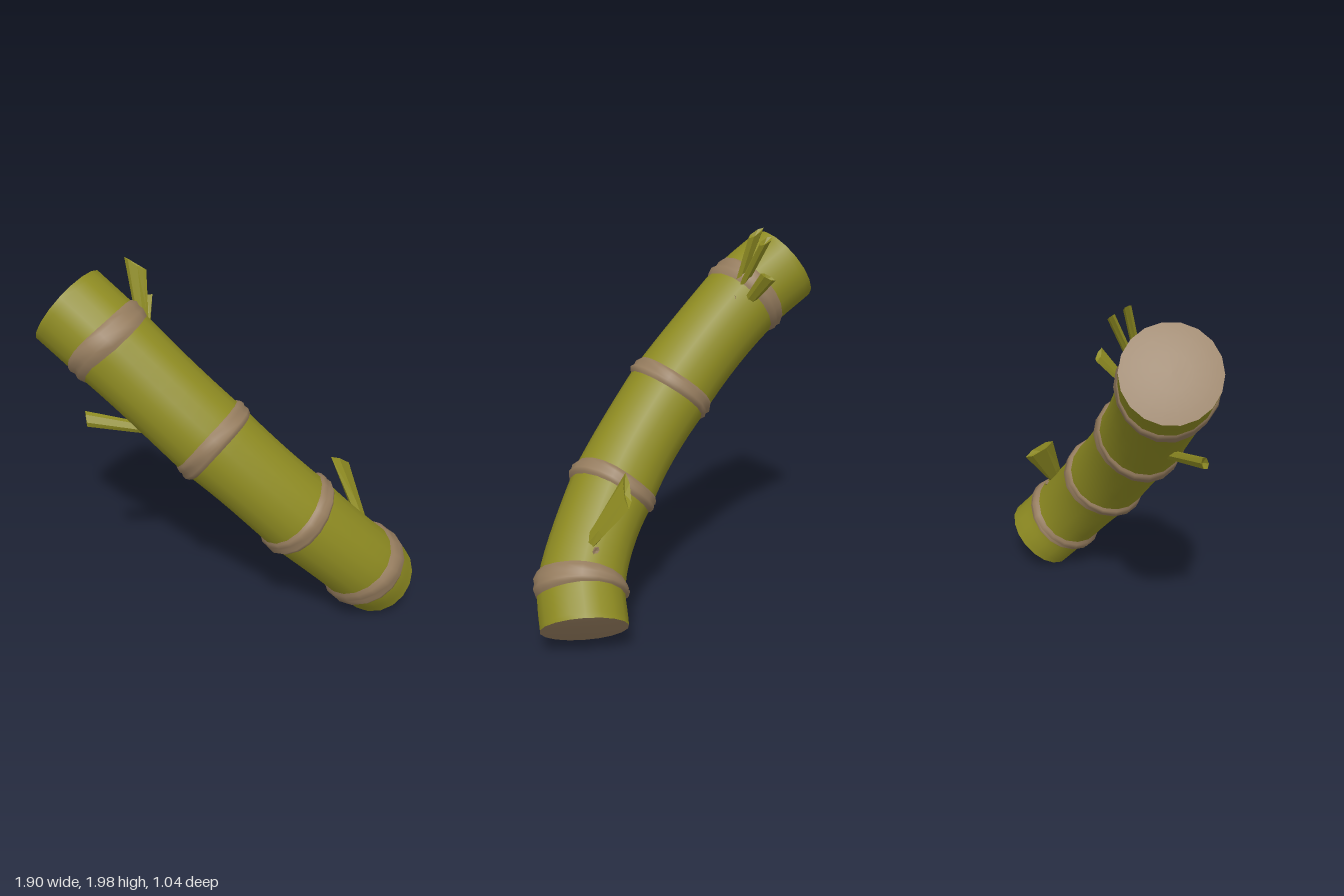
import * as THREE from 'three';

const V = (x, y, z) => new THREE.Vector3(x, y, z);
const SIDES = 18;

// Centre line of the stalk, one point per node, from upper to lower end
const spine = new THREE.CatmullRomCurve3([
  V(-0.75, 1.77, -0.33), V(-0.57, 1.6, -0.165), V(-0.14, 1.15, 0.115),
  V(0.28, 0.72, 0.27), V(0.65, 0.34, 0.285), V(0.79, 0.17, 0.21),
]);

// Skin a list of equal-length point loops
function loft(loops) {
  const n = loops[0].length, pos = [], idx = [];
  loops.forEach(l => l.forEach(p => pos.push(p.x, p.y, p.z)));
  for (let j = 0; j < loops.length - 1; j++) {
    for (let i = 0; i < n; i++) {
      const a = j * n + i, b = j * n + (i + 1) % n;
      idx.push(a, b, a + n, b, b + n, a + n);
    }
  }
  const g = new THREE.BufferGeometry();
  g.setAttribute('position', new THREE.Float32BufferAttribute(pos, 3));
  g.setIndex(idx);
  g.computeVertexNormals();
  return g;
}

// Loop of points around the spine; radius and shift along it depend on the angle
function section(t, radius, shift = () => 0) {
  const c = spine.getPoint(t), d = spine.getTangent(t);
  const u = V(1, 1, 0).addScaledVector(d, -d.dot(V(1, 1, 0))).normalize();
  const v = d.clone().cross(u);
  return Array.from({ length: SIDES }, (_, i) => {
    const a = i / SIDES * Math.PI * 2, r = radius(a);
    return c.clone().addScaledVector(u, Math.cos(a) * r)
      .addScaledVector(v, Math.sin(a) * r).addScaledVector(d, shift(a));
  });
}

// Flattened blade growing from a base point to the edge between two tip corners
function blade(base, a, b, w0, thick) {
  const mid = a.clone().add(b).multiplyScalar(0.5);
  const axis = mid.clone().sub(base);
  const half = a.clone().sub(b).multiplyScalar(0.5);
  const side = half.clone().addScaledVector(axis, -half.dot(axis) / axis.lengthSq()).normalize();
  const flat = axis.clone().normalize().cross(side);
  const loops = [0, 0.35, 1].map(s => {
    const c = base.clone().addScaledVector(axis, s);
    const w = side.clone().multiplyScalar(w0).lerp(half, s);
    return Array.from({ length: 6 }, (_, i) => {
      const q = i / 6 * Math.PI * 2;
      return c.clone().addScaledVector(w, Math.cos(q)).addScaledVector(flat, Math.sin(q) * thick);
    });
  });
  loops.push(loops[2].map(() => mid.clone().addScaledVector(axis, -0.06)));
  const g = loft(loops).toNonIndexed();
  g.computeVertexNormals();
  return g;
}

export function createModel() {
  const green = new THREE.MeshStandardMaterial({ color: 0x8e8b22, side: THREE.DoubleSide });
  green.name = 'stalkGreen';
  const brown = new THREE.MeshStandardMaterial({ color: 0x957c5e, side: THREE.DoubleSide });
  brown.name = 'huskBrown';
  const model = new THREE.Group();
  model.name = 'caneStalk';
  const add = (name, geometry, material) => {
    const m = new THREE.Mesh(geometry, material);
    m.name = name;
    model.add(m);
  };

  // Green stalk, slimmer between nodes, with shallow grooves
  const steps = 40, loops = [];
  const grooves = [0.2, 1.6, 3.1, 4.5, 5.6];
  for (let j = 0; j <= steps; j++) {
    const t = j / steps, k = Math.min(4, Math.floor(t * 5)), f = t * 5 - k;
    const belly = k > 0 && k < 4 ? Math.sin(f * Math.PI) : 0;
    const end = 0.229 - 0.009 * t;
    loops.push(section(t, a => {
      const near = Math.cos(a - grooves[k]);
      return end - 0.006 * belly - 0.016 * belly * (1 - f) * Math.max(0, near) ** 12;
    }));
  }
  add('stalk', loft(loops), green);

  // Cut ends, slightly domed
  for (const [name, t, r, s] of [['upperCutEnd', 0, 0.229, -1], ['lowerCutEnd', 1, 0.22, 1]]) {
    const caps = [[1, 0], [0.75, 0.009], [0.4, 0.016], [0.001, 0.018]]
      .map(([q, h]) => section(t, () => r * q, () => s * h));
    add(name, loft(s > 0 ? caps : caps.reverse()), brown);
  }

  // Wrinkled brown band at each node
  [[0.145, 0.222], [0.382, 0.418], [0.582, 0.62], [0.775, 0.855]].forEach(([t0, t1], k) => {
    const profile = [0.212, 0.232, 0.241, 0.234, 0.242, 0.231, 0.21];
    add('nodeBand' + (k + 1), loft(profile.map((r, j) => {
      const s = j / (profile.length - 1);
      return section(t0 + (t1 - t0) * s,
        a => r + 0.005 * Math.sin(3 * a + k + s * 5) * Math.sin(s * Math.PI),
        a => 0.012 * Math.sin(2 * a + k * 2));
    })), brown);
  });

  // Torn green shoots: base, two tip corners, base half width, thickness
  [
    [V(-0.41, 1.66, -0.17), V(-0.46, 2.0, -0.3), V(-0.38, 1.95, -0.24), 0.025, 0.018],
    [V(-0.4, 1.66, -0.19), V(-0.42, 1.96, -0.36), V(-0.35, 1.92, -0.31), 0.025, 0.018],
    [V(-0.39, 1.58, -0.22), V(-0.36, 1.74, -0.4), V(-0.32, 1.78, -0.33), 0.025, 0.018],
    [V(-0.4, 1.18, 0), V(-0.74, 1.295, -0.09), V(-0.74, 1.225, -0.05), 0.025, 0.022],
    [V(0.67, 0.56, 0.24), V(0.53, 0.915, 0.09), V(0.68, 0.79, 0.01), 0.035, 0.025],
  ].forEach((p, i) => add('shoot' + (i + 1), blade(...p), green));

  // Ragged husk scales around the shoot bases
  [[V(0.65, 0.555, 0.25), V(0.7, 0.7, 0), 0.085, 7],
    [V(-0.41, 1.65, -0.19), V(0.6, 0.6, -0.5), 0.075, 6]].forEach(([base, out, size, n], k) => {
    out.normalize();
    const u = V(0, 0, 1).addScaledVector(out, -out.z).normalize();
    const v = out.clone().cross(u);
    for (let i = 0; i < n; i++) {
      const a = i / n * Math.PI * 2;
      const at = (q, r, h) => base.clone().addScaledVector(u, Math.cos(q) * r)
        .addScaledVector(v, Math.sin(q) * r).addScaledVector(out, h);
      const r = size * (i % 2 ? 1 : 0.75);
      add(`huskScale${k + 1}_${i + 1}`,
        blade(at(a, 0.02, -0.01), at(a - 0.25, r, 0.035), at(a + 0.25, r, 0.045), 0.025, 0.014), brown);
    }
  });

  return model;
}
